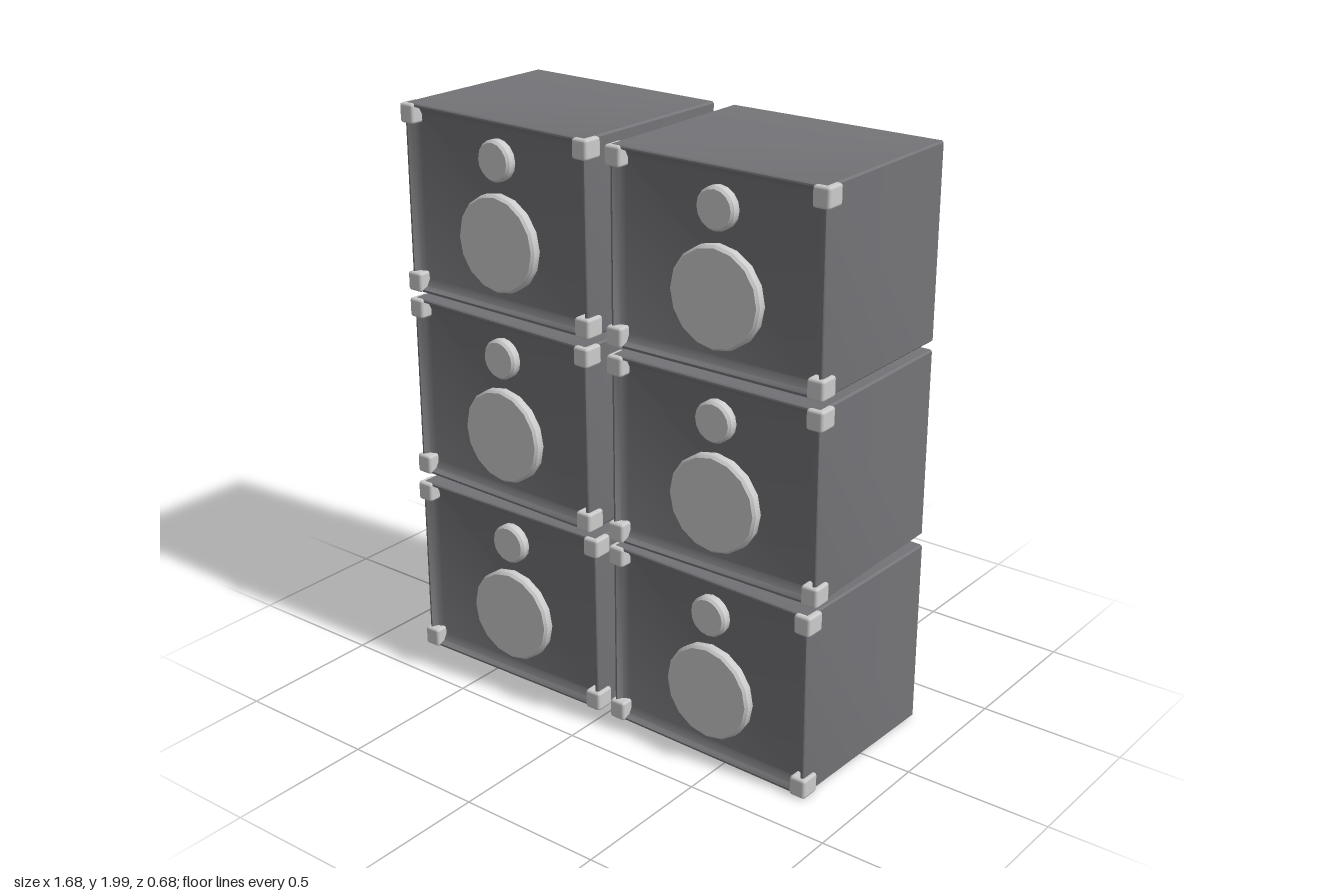
import * as THREE from 'three';
import { toCreasedNormals } from 'three/addons/utils/BufferGeometryUtils.js';
import { RoundedBoxGeometry } from 'three/addons/geometries/RoundedBoxGeometry.js';

const W = 0.78, H = 0.645, D = 0.65;

// Rectangle with clipped corners, counter-clockwise seen from the front
function ring(inset, z, clip = 0.006) {
  const x = W / 2 - inset, y = H / 2 - inset, c = clip;
  return [[x, c - y], [x, y - c], [x - c, y], [c - x, y],
    [-x, y - c], [-x, c - y], [c - x, -y], [x - c, -y]].map(([a, b]) => [a, b, z]);
}

// Cabinet: bevelled back, straight sides, thin rim and a curved recess to the baffle
function cabinetGeometry() {
  const f = D / 2;
  const rings = [
    ring(0.01, -f), ring(0, -f + 0.01), ring(0, f - 0.005), ring(0.004, f),
    ring(0.01, f), ring(0.018, f - 0.02), ring(0.04, f - 0.032),
  ];
  const pos = rings.flat(2), index = [], n = 8;
  for (let r = 0; r < rings.length - 1; r++) {
    for (let i = 0; i < n; i++) {
      const a = r * n + i, b = r * n + (i + 1) % n;
      index.push(a, b, b + n, a, b + n, a + n);
    }
  }
  const last = (rings.length - 1) * n;
  for (let i = 1; i < n - 1; i++) {
    index.push(0, i + 1, i, last, last + i, last + i + 1);
  }
  const g = new THREE.BufferGeometry();
  g.setAttribute('position', new THREE.Float32BufferAttribute(pos, 3));
  g.setIndex(index);
  return toCreasedNormals(g, 0.75);
}

// Speaker cone cover: shallow disc with a bevelled rim, facing +z
function driverGeometry(r) {
  const profile = [[r, 0], [r, 0.026], [r - 0.008, 0.035], [0, 0.035]]
    .map(([x, y]) => new THREE.Vector2(x, y));
  const g = new THREE.LatheGeometry(profile, 16);
  g.rotateX(Math.PI / 2);
  return toCreasedNormals(g, 0.5);
}

export function createModel() {
  const dark = new THREE.MeshStandardMaterial({ color: 0x757579 });
  const light = new THREE.MeshStandardMaterial({ color: 0xcccccc });
  const cabinet = cabinetGeometry();
  const woofer = driverGeometry(0.165), tweeter = driverGeometry(0.069);
  const cap = new RoundedBoxGeometry(0.06, 0.068, 0.073, 1, 0.01);

  function add(parent, name, geometry, material, x, y, z) {
    const m = new THREE.Mesh(geometry, material);
    m.name = name;
    m.position.set(x, y, z);
    parent.add(m);
  }

  function speaker() {
    const g = new THREE.Group();
    const baffle = D / 2 - 0.033;
    add(g, 'cabinet', cabinet, dark, 0, 0, 0);
    add(g, 'woofer', woofer, light, 0, -0.088, baffle);
    add(g, 'tweeter', tweeter, light, 0, 0.187, baffle);
    for (const sx of [-1, 1]) {
      for (const sy of [-1, 1]) {
        add(g, 'cornerCap', cap, light, sx * 0.373, sy * 0.288, 0.3);
      }
    }
    return g;
  }

  // Two stacks of three, each speaker turned slightly
  const model = new THREE.Group();
  model.name = 'speakerStacks';
  const turns = [[0.015, -0.03, -0.018], [-0.024, 0.014, 0.012]];
  turns.forEach((stack, s) => stack.forEach((turn, row) => {
    const g = speaker();
    g.name = (s ? 'left' : 'right') + 'Speaker' + (row + 1);
    g.position.set(s ? 0.432 : -0.432, H / 2 + 0.005 + row * 0.6725, 0);
    g.rotation.y = turn;
    model.add(g);
  }));
  return model;
}
